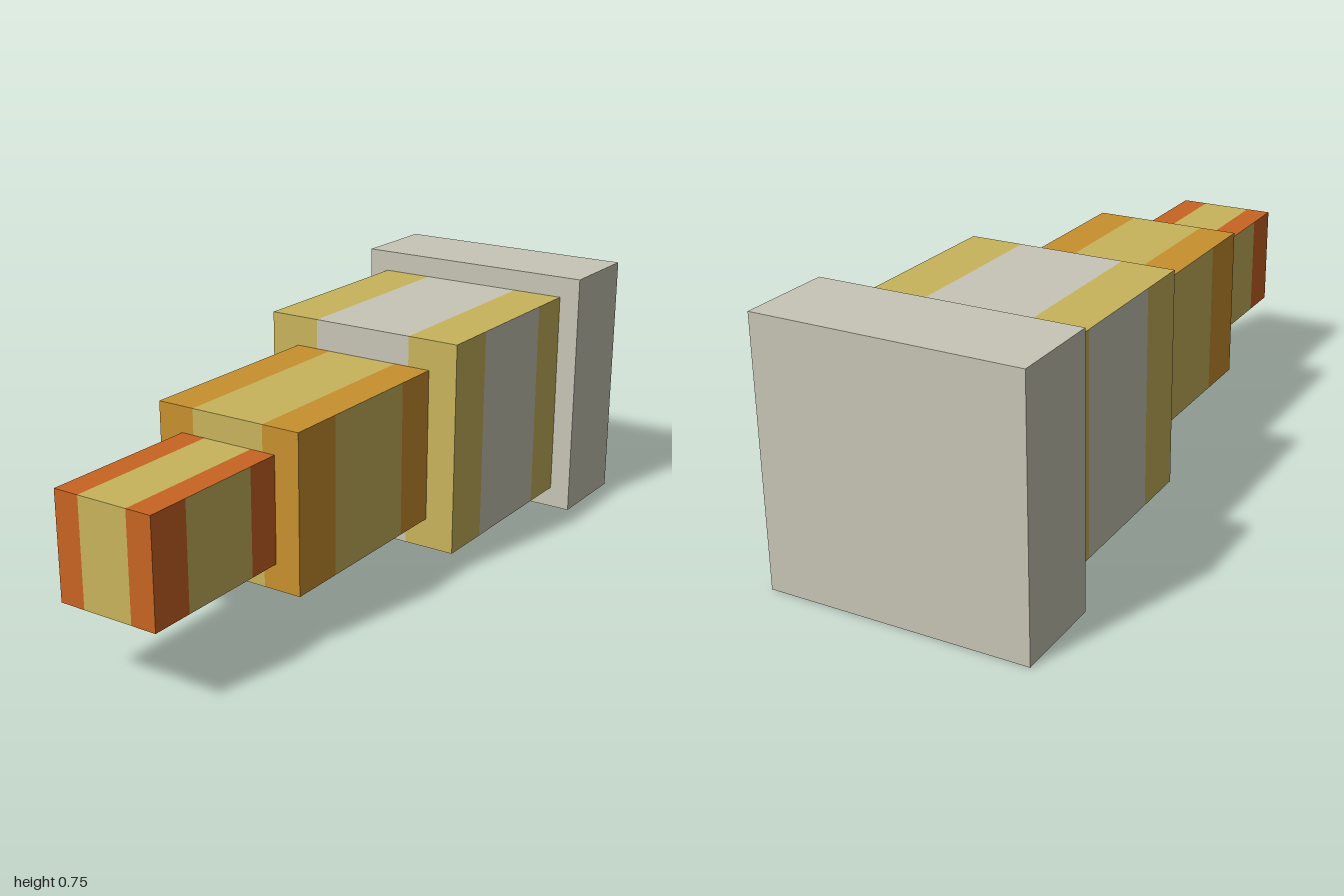
import * as THREE from 'three';

const paint = (name, color) => Object.assign(new THREE.MeshStandardMaterial({ color }), { name });

export function createModel() {
  const stone = paint('stone grey', 0xc8c6b6);
  const ochre = paint('ochre yellow', 0xc8b45c);
  const amber = paint('amber orange', 0xc8902e);
  const rust = paint('rust red', 0xc86422);
  const model = new THREE.Group();
  model.name = 'steppedBarrel';

  // Square block between two depths; every face has a centre stripe half its width
  function block(name, size, back, front, edge, stripe) {
    const geometry = new THREE.BoxGeometry(size, size, front - back, 4, 1, 4);
    geometry.clearGroups();
    for (let quad = 0; quad < geometry.index.count / 6; quad++) {
      const column = quad % 4;
      geometry.addGroup(quad * 6, 6, column === 1 || column === 2 ? 1 : 0);
    }
    const mesh = new THREE.Mesh(geometry, [edge, stripe]);
    mesh.name = name;
    mesh.position.set(0, 0.375, (back + front) / 2);
    model.add(mesh);
  }

  // Plain base plate
  const base = new THREE.Mesh(new THREE.BoxGeometry(0.75, 0.75, 0.275), stone);
  base.name = 'basePlate';
  base.position.set(0, 0.375, -0.8625);
  model.add(base);

  // Tapering sections, each sunk slightly into the one behind
  block('rearSection', 0.624, -0.75, -0.1, ochre, stone);
  block('middleSection', 0.448, -0.125, 0.525, amber, ochre);
  block('tipSection', 0.3, 0.5, 1, rust, ochre);

  return model;
}
